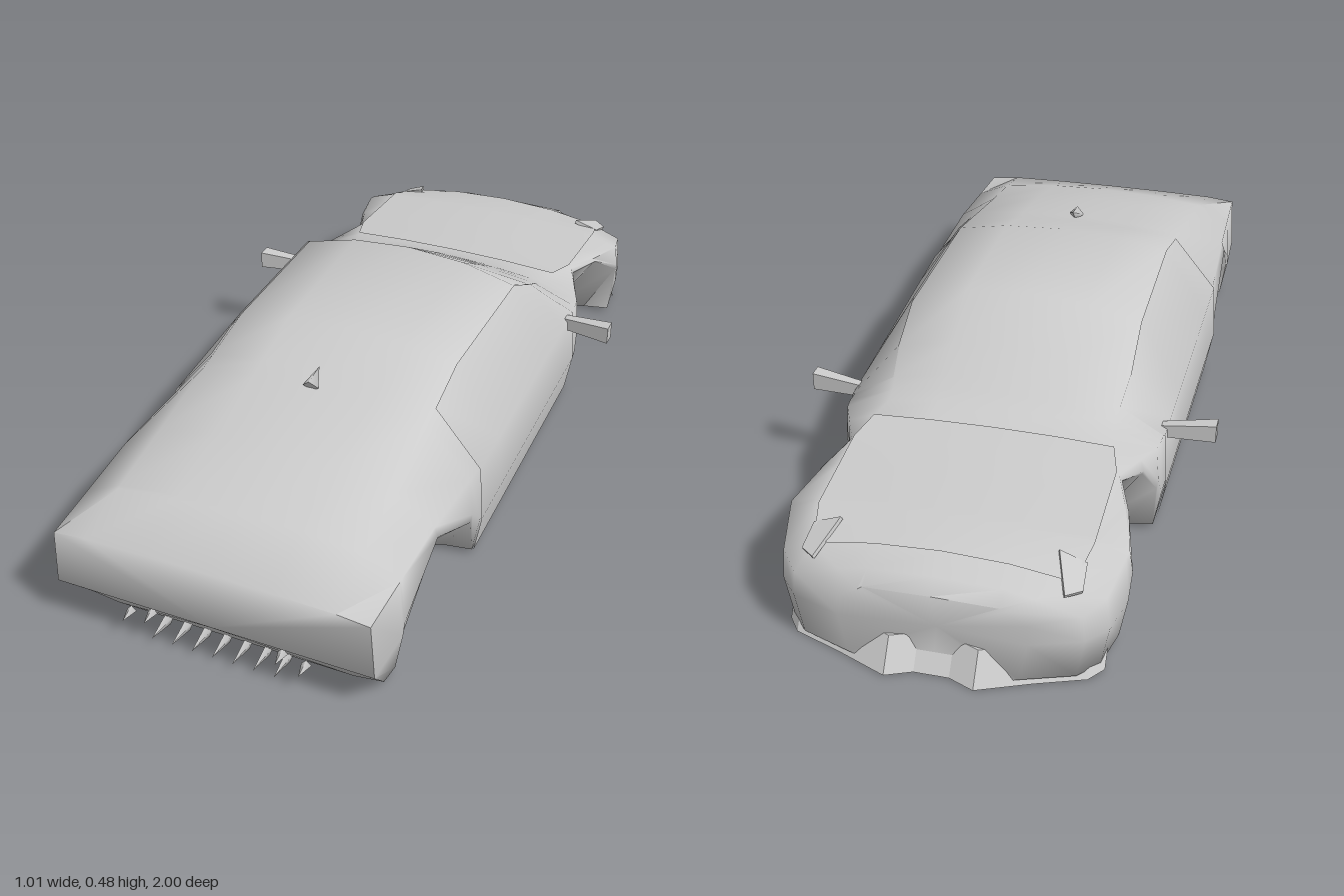
import * as THREE from 'three';
import { toCreasedNormals } from 'three/addons/utils/BufferGeometryUtils.js';

const material = new THREE.MeshStandardMaterial({ color: 0xcccccc, side: THREE.DoubleSide });

// Straight-line curve through [z, value] pairs, running from tail (+z) to nose (-z)
const curve = (...pairs) => z => {
  const i = Math.max(1, pairs.findIndex(([end]) => end <= z));
  const [z0, v0] = pairs[i - 1], [z1, v1] = pairs[i];
  return THREE.MathUtils.mapLinear(z, z0, z1, v0, v1);
};

// Lines that shape the body along its length
const topLine = curve([0.98, 0.272], [0.84, 0.325], [0.66, 0.38], [0.41, 0.425], [0.27, 0.468],
  [-0.12, 0.484], [-0.42, 0.303], [-0.53, 0.292], [-0.85, 0.268], [-0.96, 0.21]);
const shoulderHeight = curve([0.98, 0.268], [0.84, 0.305], [0.66, 0.345], [0.27, 0.438],
  [-0.12, 0.438], [-0.38, 0.3], [-0.53, 0.28], [-0.77, 0.26], [-0.96, 0.2]);
const shoulderWidth = curve([0.98, 0.3], [0.27, 0.28], [-0.25, 0.285], [-0.38, 0.27],
  [-0.53, 0.312], [-0.77, 0.312], [-0.87, 0.29], [-0.96, 0.16]);
const beltHeight = curve([0.98, 0.26], [0.66, 0.28], [0.41, 0.265], [-0.33, 0.26],
  [-0.53, 0.274], [-0.77, 0.238], [-0.96, 0.17]);
const flankWidth = curve([0.98, 0.385], [0.41, 0.405], [-0.38, 0.392], [-0.53, 0.325],
  [-0.66, 0.37], [-0.75, 0.393], [-0.87, 0.368], [-0.92, 0.325], [-0.96, 0.21]);
const lipHeight = curve([0.98, 0.02], [0.84, 0.02], [0.83, 0.12], [0.66, 0.25], [0.46, 0.145],
  [0.41, 0.02], [-0.36, 0.02], [-0.39, 0.15], [-0.45, 0.23], [-0.53, 0.258], [-0.63, 0.25],
  [-0.75, 0.17], [-0.77, 0.02], [-0.96, 0.02]);

// Closed section; in the wheel wells the lip rises and the floor narrows
function section(z) {
  const lip = lipHeight(z), belt = beltHeight(z), width = flankWidth(z);
  const shoulder = shoulderHeight(z), top = topLine(z);
  const well = lip > 0.1;
  const half = [
    [0, 0.01],
    [width * (well ? 0.55 : 0.77), 0.01],
    [width - (well ? 0.004 : 0.018), lip],
    [width, Math.max(0.12, lip * 0.8 + belt * 0.2)],
    [width * 0.98, belt],
    [shoulderWidth(z), shoulder],
    [0.15, shoulder + (top - shoulder) * 0.75],
    [0, top],
  ];
  const mirrored = half.slice(1, -1).reverse().map(([x, y]) => [-x, y]);
  // The lower tail tucks forward beneath the bumper
  return [...half, ...mirrored, half[0]].map(([x, y]) =>
    new THREE.Vector3(x, y, z > 0.9 && y < 0.1 ? z - 0.09 : z));
}

const sections = [0.98, 0.84, 0.83, 0.66, 0.46, 0.41, 0.27, -0.12, -0.25, -0.33,
  -0.36, -0.39, -0.45, -0.53, -0.63, -0.75, -0.77, -0.87, -0.92, -0.96].map(section);

// Skin a grid of points, optionally closing the first and last rows
function skin(rows, capped) {
  const points = [];
  for (let i = 0; i + 1 < rows.length; i++) {
    for (let j = 0; j + 1 < rows[i].length; j++) {
      const a = rows[i][j], b = rows[i][j + 1], c = rows[i + 1][j], d = rows[i + 1][j + 1];
      points.push(a, c, b, b, c, d);
    }
  }
  if (capped) {
    const tail = rows[0], nose = rows[rows.length - 1];
    const tailMid = new THREE.Vector3(0, 0.12, 0.98), noseMid = new THREE.Vector3(0, 0.1, -0.925);
    for (let j = 0; j + 1 < tail.length; j++) {
      points.push(tailMid, tail[j], tail[j + 1], noseMid, nose[j + 1], nose[j]);
    }
  }
  return toCreasedNormals(new THREE.BufferGeometry().setFromPoints(points), 1.4);
}

// Thin raised panel following part of the body skin
const panel = (fromRow, toRow, fromCol, toCol, dx, dy) => skin(
  sections.slice(fromRow, toRow + 1).map(row => row.slice(fromCol, toCol + 1)
    .map(p => new THREE.Vector3(p.x + dx, p.y + dy, p.z))), false);

// Flat outline in x and z given a height
function plate(outline, height) {
  const shape = new THREE.Shape(outline.map(([x, z]) => new THREE.Vector2(x, -z)));
  return new THREE.ExtrudeGeometry(shape, { depth: height, bevelEnabled: false }).rotateX(-Math.PI / 2);
}

// Move every vertex of a geometry by a rule
function reshape(geometry, rule) {
  const p = geometry.attributes.position;
  for (let i = 0; i < p.count; i++) p.setXYZ(i, ...rule(p.getX(i), p.getY(i), p.getZ(i)));
  geometry.computeVertexNormals();
  return geometry;
}

export function createModel() {
  const model = new THREE.Group();
  const add = (name, geometry, x = 0, y = 0, z = 0) => {
    const mesh = new THREE.Mesh(geometry, material);
    mesh.name = name;
    mesh.position.set(x, y, z);
    model.add(mesh);
    return mesh;
  };

  add('body', skin(sections, true));
  add('hood', panel(12, 17, 5, 9, 0, 0.004));
  add('leftDoor', panel(5, 9, 2, 5, 0.004, 0));
  add('rightDoor', panel(5, 9, 9, 12, -0.004, 0));

  // Front splitter with two forward points, sloping back towards its top
  const splitter = plate([[-0.36, -0.87], [-0.33, -0.91], [-0.22, -0.95], [-0.1, -1], [-0.04, -0.975],
    [0.04, -0.975], [0.1, -1], [0.22, -0.95], [0.33, -0.91], [0.36, -0.87]], 0.07);
  add('frontSplitter', reshape(splitter, (x, y, z) => [x, y, y > 0.03 ? z + 0.05 : z]), 0, 0.005);

  for (const side of [-1, 1]) {
    const prefix = side > 0 ? 'left' : 'right';

    // Door mirror: a thin stalk widening to the housing
    const mirror = reshape(new THREE.BoxGeometry(0.13, 0.045, 0.035), (x, y, z) =>
      x * side < 0 ? [x, y * 0.7 - 0.005, z * 0.6 - 0.015] : [x, y, z]);
    add(prefix + 'Mirror', mirror, side * 0.44, 0.258, -0.275);

    // Headlight lens lying on the fender
    const lamp = add(prefix + 'Headlight', plate([[-0.035, 0.05], [0.03, 0.04], [0.035, -0.03], [0, -0.055]]
      .map(([x, z]) => [x * side, z]), 0.01), side * 0.275, 0.234, -0.855);
    lamp.rotation.set(-0.3, 0, -side * 0.3);

    // Small rear bumper studs
    for (const [x, y] of [[0.16, 0.085], [0.215, 0.072]]) {
      add(prefix + 'BumperStud', new THREE.ConeGeometry(0.012, 0.04, 4).rotateX(Math.PI / 2), side * x, y, 0.975);
    }
  }

  // Diffuser fins under the tail
  for (let i = -3; i <= 3; i++) {
    const fin = new THREE.ConeGeometry(0.025, 0.08, 4).rotateX(Math.PI / 2).scale(0.35, 1, 1);
    add('diffuserFin', fin, i * 0.05, 0.035, 0.945);
  }

  // Roof antenna
  add('antenna', new THREE.ConeGeometry(0.02, 0.055, 4).rotateX(-1.1), 0, 0.434, 0.44);
  return model;
}
